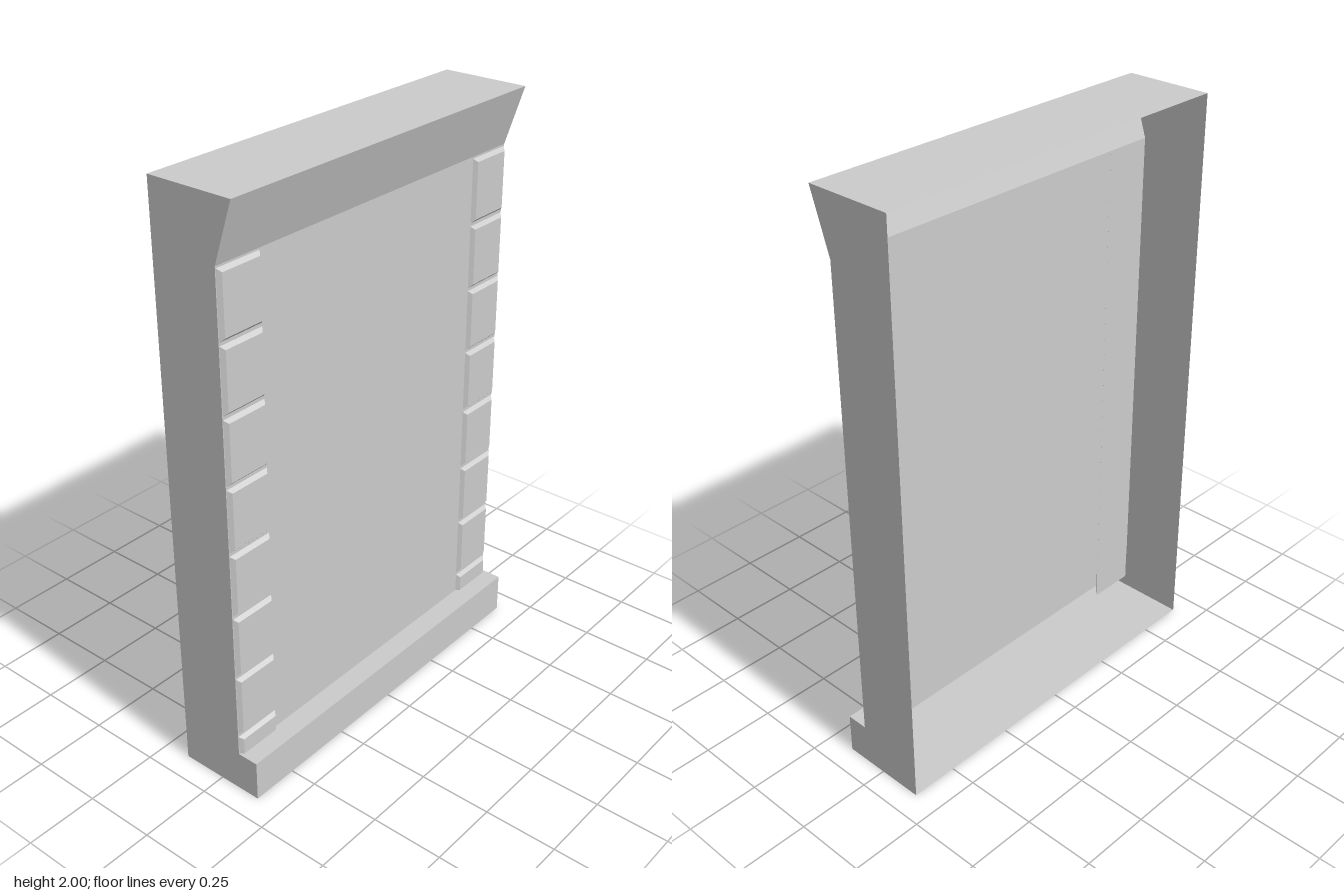
import * as THREE from 'three';

const material = new THREE.MeshStandardMaterial({ color: 0xcccccc, flatShading: true, side: THREE.DoubleSide });
const HALF = 0.665; // half width along z

// Side outline from the bottom back edge round to the top back edge
const profile = [
  [-0.157, 0], [0.155, 0], [0.155, 0.142], [0.08, 0.142],
  [0.08, 1.8], [0.148, 2], [-0.157, 2],
];

// Thin skin swept along z, left open at the back
function skinGeometry() {
  const positions = [];
  for (let i = 0; i < profile.length - 1; i++) {
    const [ax, ay] = profile[i];
    const [bx, by] = profile[i + 1];
    const a = [ax, ay, HALF], b = [ax, ay, -HALF], c = [bx, by, -HALF], d = [bx, by, HALF];
    positions.push(...a, ...b, ...c, ...a, ...c, ...d);
  }
  const geometry = new THREE.BufferGeometry();
  geometry.setAttribute('position', new THREE.Float32BufferAttribute(positions, 3));
  geometry.computeVertexNormals();
  return geometry;
}

// Block whose +x face is inset to give a bevelled border
function blockGeometry(bottom, top, width) {
  const back = 0.0795, front = 0.092, bevel = 0.012;
  const height = top - bottom;
  const geometry = new THREE.BoxGeometry(front - back, height, width);
  const p = geometry.attributes.position;
  for (let i = 0; i < p.count; i++) {
    if (p.getX(i) > 0) {
      p.setY(i, p.getY(i) - Math.sign(p.getY(i)) * bevel);
      p.setZ(i, p.getZ(i) - Math.sign(p.getZ(i)) * bevel);
    }
  }
  geometry.translate((front + back) / 2, (top + bottom) / 2, 0);
  geometry.computeVertexNormals();
  return geometry;
}

export function createModel() {
  const group = new THREE.Group();
  group.name = 'wallPanel';

  // Wall face, flared cornice, projecting plinth, top and underside
  const skin = new THREE.Mesh(skinGeometry(), material);
  skin.name = 'wallSkin';
  group.add(skin);

  // End walls
  const endShape = new THREE.Shape(profile.map(([x, y]) => new THREE.Vector2(x, y)));
  for (const side of [1, -1]) {
    const end = new THREE.Mesh(new THREE.ShapeGeometry(endShape), material);
    end.name = side > 0 ? 'frontEndWall' : 'backEndWall';
    end.position.z = side * HALF;
    group.add(end);
  }

  // Columns of corner blocks; the lowest runs down behind the plinth
  const pitch = 0.2262;
  for (const side of [1, -1]) {
    const column = new THREE.Group();
    column.name = side > 0 ? 'frontCornerBlocks' : 'backCornerBlocks';
    for (let i = 0; i < 8; i++) {
      const top = 1.794 - i * pitch;
      const block = new THREE.Mesh(blockGeometry(Math.max(top - 0.216, 0.04), top, 0.17), material);
      block.name = 'cornerBlock';
      block.position.z = side * 0.578;
      column.add(block);
    }
    group.add(column);
  }
  return group;
}
